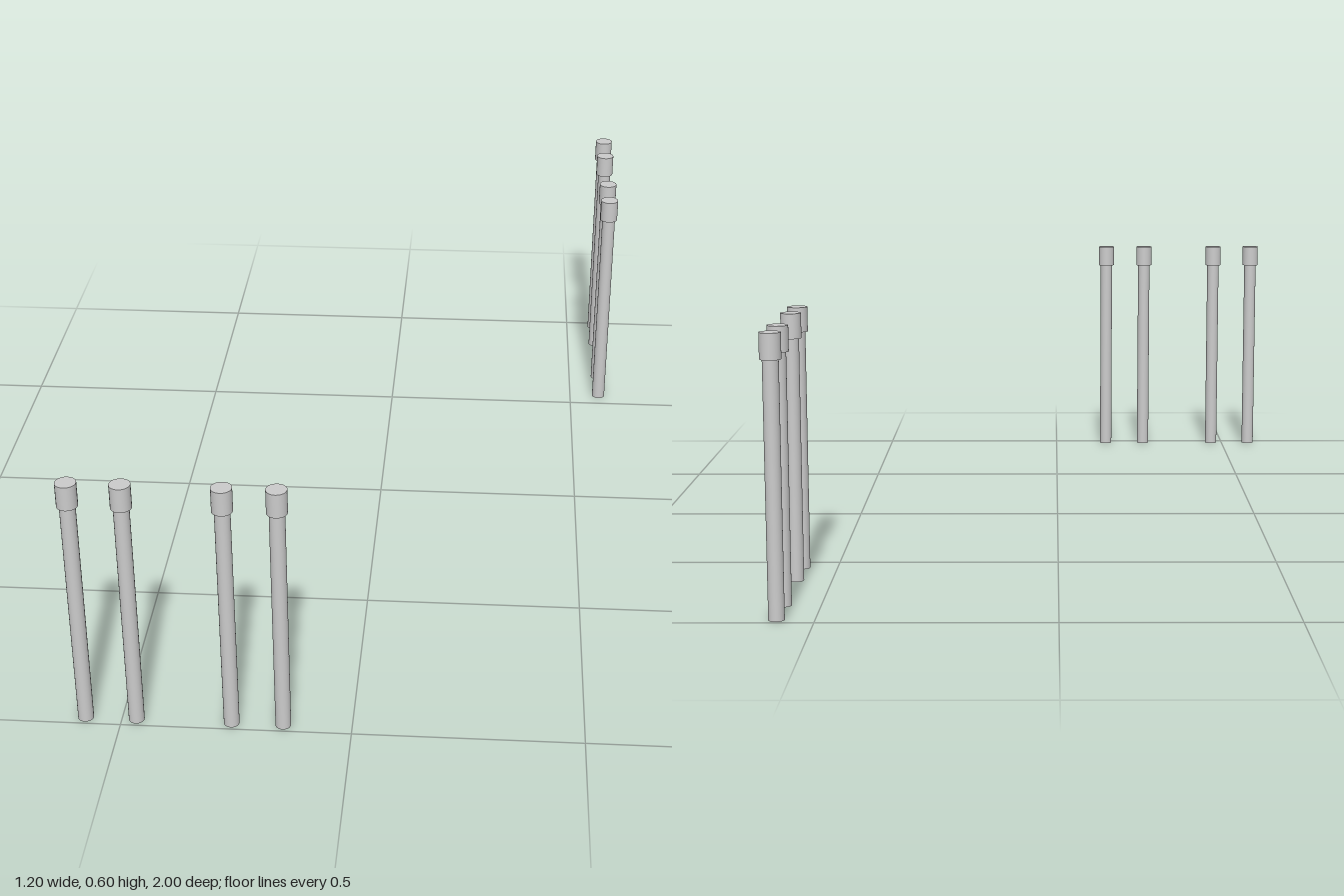
import * as THREE from 'three';

const HEIGHT = 0.595, CAP_BASE = 0.54;
const SHAFT_R = 0.017, CAP_R = 0.0225;

export function createModel() {
  const model = new THREE.Group();
  model.name = 'postSet';
  const material = new THREE.MeshStandardMaterial({ color: 0xcccccc });
  const shaftGeometry = new THREE.CylinderGeometry(SHAFT_R, SHAFT_R, CAP_BASE, 24);
  const capGeometry = new THREE.CylinderGeometry(CAP_R, CAP_R, HEIGHT - CAP_BASE, 24);

  // One post: slim shaft with a wider cap on top
  function addPost(row, x, z) {
    const post = new THREE.Group();
    post.name = 'post';
    const shaft = new THREE.Mesh(shaftGeometry, material);
    shaft.name = 'shaft';
    shaft.position.y = CAP_BASE / 2;
    const cap = new THREE.Mesh(capGeometry, material);
    cap.name = 'cap';
    cap.position.y = (CAP_BASE + HEIGHT) / 2;
    post.add(shaft, cap);
    post.position.set(x, 0, z);
    row.add(post);
  }

  // Two rows of four posts, set in pairs, at right angles to each other
  const offsets = [0, 0.111, 0.318, 0.43];
  const frontRow = new THREE.Group();
  frontRow.name = 'frontRow';
  const sideRow = new THREE.Group();
  sideRow.name = 'sideRow';
  for (const d of offsets) {
    addPost(frontRow, -0.579 + d, 0.9775);
    addPost(sideRow, 0.579, -0.9775 + d);
  }
  model.add(frontRow, sideRow);
  return model;
}
